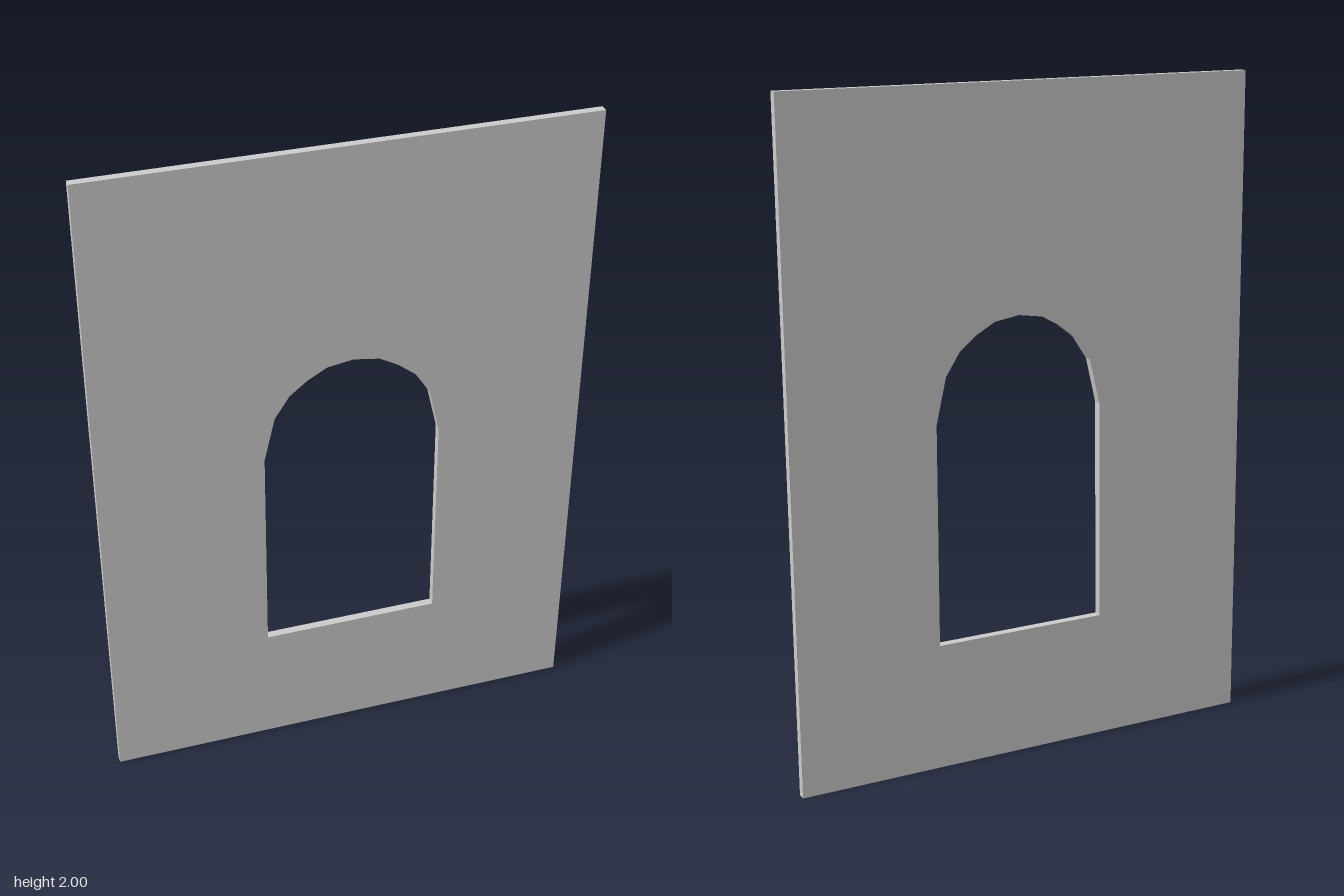
import * as THREE from 'three';

export function createModel() {
  const W = 1.46, H = 2, T = 0.025; // wall width, height, thickness

  // Wall outline
  const outline = new THREE.Shape();
  outline.moveTo(-W / 2, 0);
  outline.lineTo(W / 2, 0);
  outline.lineTo(W / 2, H);
  outline.lineTo(-W / 2, H);
  outline.closePath();

  // Arched opening: half of the arch, mirrored about its centre line
  const cx = 0.023;
  const half = [[0.267, 0.385], [0.264, 1.05], [0.232, 1.187], [0.187, 1.256], [0.134, 1.298], [0.077, 1.33]];
  const points = [
    ...half.map(([x, y]) => new THREE.Vector2(cx + x, y)),
    new THREE.Vector2(cx, 1.342),
    ...half.slice().reverse().map(([x, y]) => new THREE.Vector2(cx - x, y)),
  ];
  outline.holes.push(new THREE.Path(points));

  const geometry = new THREE.ExtrudeGeometry(outline, { depth: T, bevelEnabled: false });
  geometry.translate(0, 0, -T / 2);

  // Slight lean towards the front face
  const pos = geometry.attributes.position;
  for (let i = 0; i < pos.count; i++) {
    const h = pos.getY(i) - H / 2;
    pos.setX(i, pos.getX(i) + 0.002 * h);
    pos.setZ(i, pos.getZ(i) + 0.0107 * h);
  }
  geometry.computeVertexNormals();

  const wall = new THREE.Mesh(geometry, new THREE.MeshStandardMaterial({ color: 0xcccccc, flatShading: true }));
  wall.name = 'archedWall';
  wall.rotation.y = THREE.MathUtils.degToRad(44.6); // stands diagonally

  const model = new THREE.Group();
  model.name = 'wallPanel';
  model.add(wall);
  return model;
}
